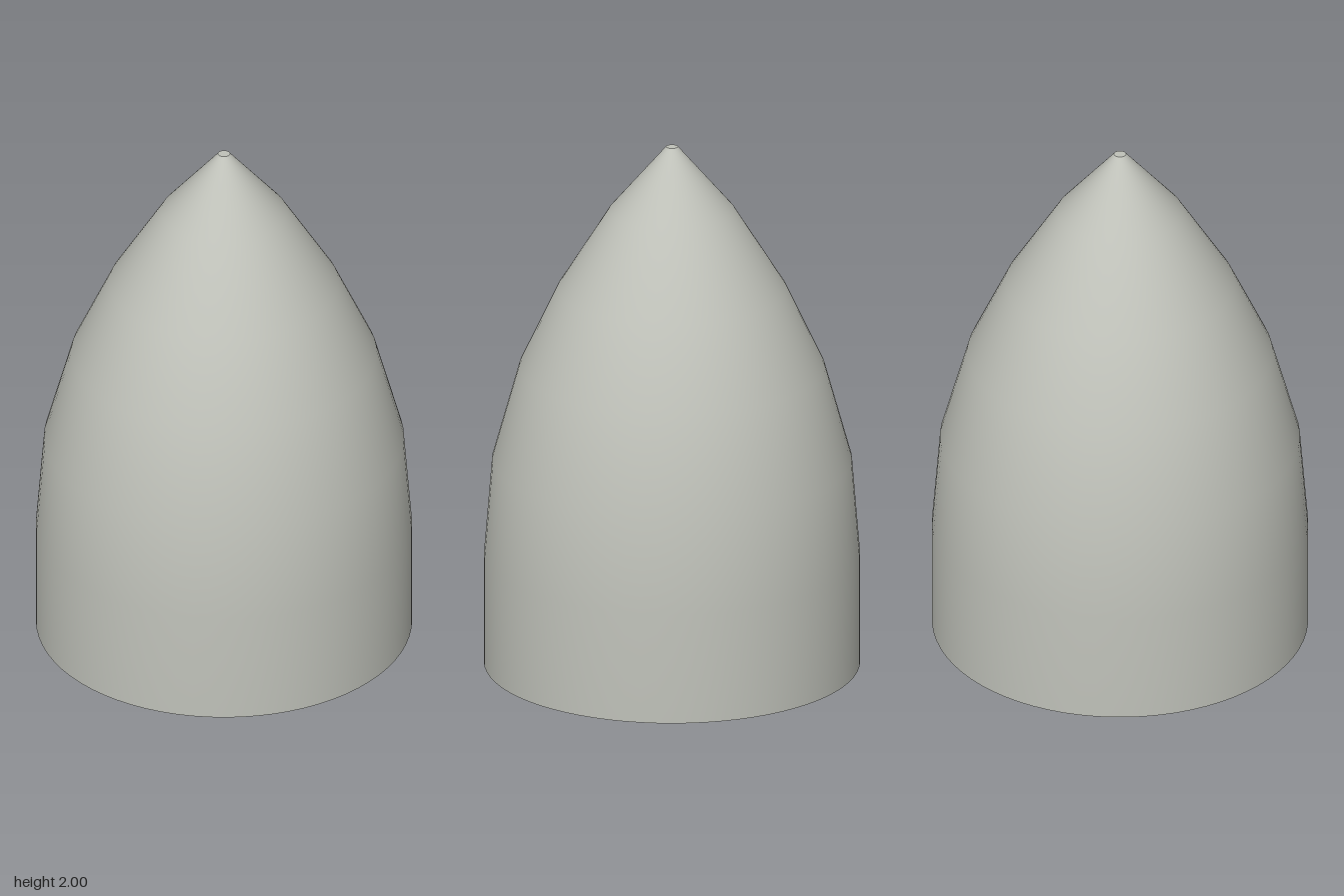
import * as THREE from 'three';

export function createModel() {
  const group = new THREE.Group();
  group.name = 'noseCone';
  const shell = new THREE.MeshStandardMaterial({ color: 0xbfc1b9 });
  shell.name = 'pale grey';

  const segments = 72;
  const wall = 0.02;
  const tipRadius = 0.022;
  // Ogive outline from the open base to the blunt tip: [radius, height]
  const outline = [
    [0.69, 0], [0.69, 0.42], [0.66, 0.79], [0.56, 1.15],
    [0.42, 1.45], [0.23, 1.755], [tipRadius, 2],
  ];

  const add = (name, geometry) => {
    const mesh = new THREE.Mesh(geometry, shell);
    mesh.name = name;
    group.add(mesh);
    return mesh;
  };
  const lathe = (points) =>
    new THREE.LatheGeometry(points.map(([r, y]) => new THREE.Vector2(r, y)), segments);

  // Smooth outer skin
  add('outerShell', lathe(outline));

  // Inner skin, run from the top down so that it faces inwards
  const inner = outline.slice(0, -1).map(([r, y]) => [r - wall, y]);
  inner.push([0, 1.97]);
  add('innerShell', lathe(inner.reverse()));

  // Flat rim around the open base
  add('baseRim', lathe([[0.69 - wall, 0], [0.69, 0]]));

  // Small flat tip
  const tip = add('tipCap', new THREE.CircleGeometry(tipRadius, segments));
  tip.rotation.x = -Math.PI / 2;
  tip.position.y = 2;

  // Narrow seam strip up the inside of the straight wall
  const angle = 0.07;
  const seamRadius = 0.69 - wall - 0.003;
  const seam = add('innerSeam', new THREE.BoxGeometry(0.012, 0.42, 0.022));
  seam.position.set(Math.cos(angle) * seamRadius, 0.21, Math.sin(angle) * seamRadius);
  seam.rotation.y = -angle;

  return group;
}
